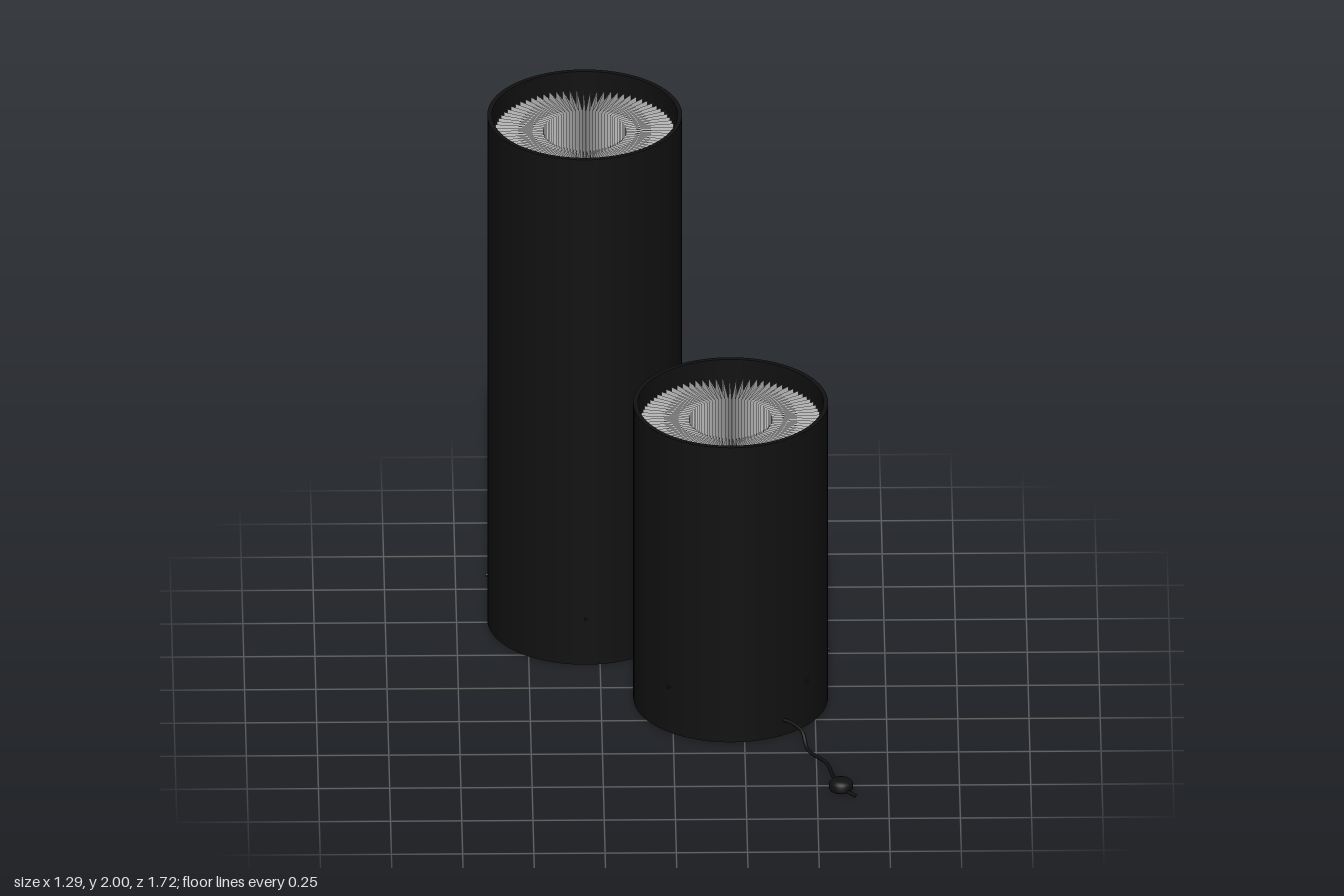
import * as THREE from 'three';

const black = new THREE.MeshStandardMaterial({ color: 0x111111 });
const grey = new THREE.MeshStandardMaterial({ color: 0xcccccc, side: THREE.DoubleSide });
const R = 0.342, WALL = 0.016, ROD_Y = 0.18;
const v2 = (x, y) => new THREE.Vector2(x, y);

function part(name, geometry, material) {
  const mesh = new THREE.Mesh(geometry, material);
  mesh.name = name;
  return mesh;
}

// Thin-walled open tube with flat rims
function shellGeometry(height) {
  const shape = new THREE.Shape().absarc(0, 0, R, 0, Math.PI * 2);
  shape.holes.push(new THREE.Path().absarc(0, 0, R - WALL, 0, Math.PI * 2, true));
  const rims = new THREE.ExtrudeGeometry(shape, { depth: height, bevelEnabled: false, curveSegments: 48 });
  return rims.rotateX(-Math.PI / 2);
}

// Star-shaped vertical folds between an inner and an outer radius
function pleatGeometry(bottom, top, folds = 80, inner = 0.145, outer = 0.316) {
  const pos = [];
  const corner = i => {
    const a = (i / (folds * 2)) * Math.PI * 2, r = i % 2 ? inner : outer;
    return [r * Math.cos(a), r * Math.sin(a)];
  };
  for (let i = 0; i < folds * 2; i++) {
    const [ax, az] = corner(i), [bx, bz] = corner(i + 1);
    pos.push(ax, bottom, az, ax, top, az, bx, top, bz);
    pos.push(ax, bottom, az, bx, top, bz, bx, bottom, bz);
  }
  const g = new THREE.BufferGeometry();
  g.setAttribute('position', new THREE.Float32BufferAttribute(pos, 3));
  g.computeVertexNormals();
  return g;
}

// Cord running from the hub, through the wall and along the floor
function createCord() {
  const cord = new THREE.Group();
  cord.name = 'cordAndSwitch';
  const curve = new THREE.CatmullRomCurve3([
    [0, 0.175, 0], [0.05, 0.15, 0.062], [0.11, 0.125, 0.09], [0.19, 0.095, 0.098],
    [0.30, 0.062, 0.08], [0.37, 0.057, 0.07], [0.42, 0.045, 0.075], [0.48, 0.009, 0.108],
    [0.60, 0.009, 0.138], [0.69, 0.009, 0.195], [0.765, 0.009, 0.235], [0.855, 0.009, 0.247],
  ].map(p => new THREE.Vector3(...p)));
  cord.add(part('cord', new THREE.TubeGeometry(curve, 90, 0.0065, 8), black));

  const profile = [v2(0, 0), v2(0.038, 0), v2(0.042, 0.006), v2(0.042, 0.024),
    v2(0.036, 0.033), v2(0.022, 0.039), v2(0, 0.041)];
  const footSwitch = part('footSwitch', new THREE.LatheGeometry(profile, 24), black);
  footSwitch.position.set(0.765, 0.002, 0.235);
  cord.add(footSwitch);
  return cord;
}

function createLamp(name, height, x, z, crossAngle, cordAngle) {
  const lamp = new THREE.Group();
  lamp.name = name;
  lamp.position.set(x, 0, z);
  lamp.add(part('outerShade', shellGeometry(height), black));
  lamp.add(part('pleatedDiffuser', pleatGeometry(ROD_Y, height - 0.063), grey));

  // Crossed support rods whose tips just pierce the wall
  const cross = new THREE.Group();
  cross.name = 'supportCross';
  for (let i = 0; i < 2; i++) {
    const rod = part('supportRod', new THREE.CylinderGeometry(0.006, 0.006, 2 * R + 0.012, 10), black);
    rod.rotation.set(0, i * Math.PI / 2, Math.PI / 2);
    cross.add(rod);
  }
  cross.add(part('hub', new THREE.CylinderGeometry(0.014, 0.014, 0.025, 16), black));
  cross.position.y = ROD_Y;
  cross.rotation.y = -crossAngle;
  lamp.add(cross);

  const cord = createCord();
  cord.rotation.y = -cordAngle;
  lamp.add(cord);
  return lamp;
}

export function createModel() {
  const model = new THREE.Group();
  model.name = 'floorLampPair';
  model.add(createLamp('tallLamp', 2, -0.3, -0.515, 0, 0));
  model.add(createLamp('shortLamp', 1.167, 0.205, 0.078, 0.695, 0.78));
  return model;
}
